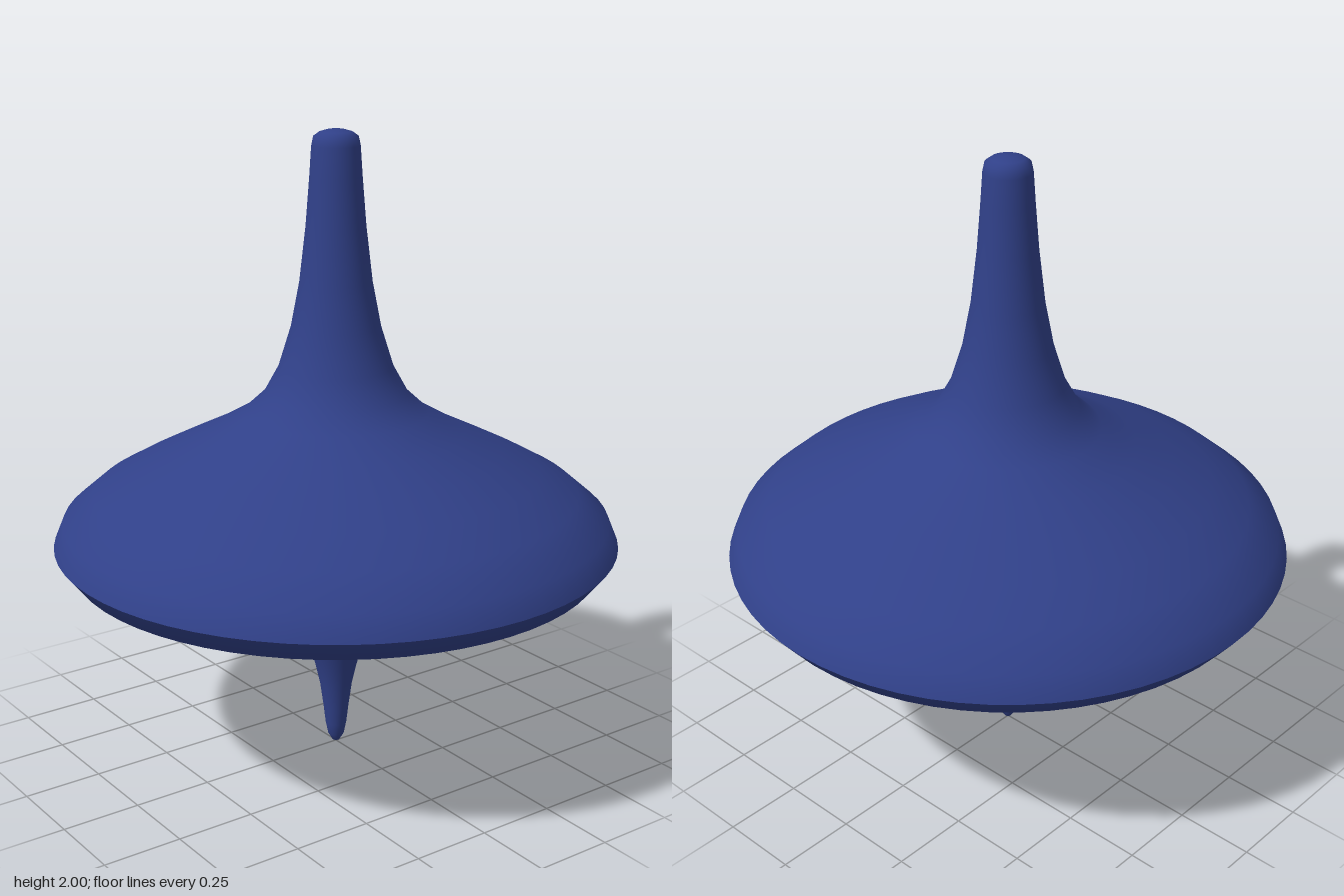
import * as THREE from 'three';

const SEGMENTS = 64;

// Profiles run bottom to top as [radius, height]; each ends at a sharp crease.
const PROFILES = {
  spinningTip: [
    [0, 0], [0.012, 0.006], [0.026, 0.03], [0.034, 0.07], [0.041, 0.13],
    [0.052, 0.21], [0.068, 0.28], [0.088, 0.35], [0.113, 0.42], [0.137, 0.485],
  ],
  discUnderside: [
    [0.137, 0.485], [0.147, 0.5], [0.18, 0.51], [0.28, 0.523], [0.43, 0.545],
    [0.58, 0.575], [0.72, 0.61], [0.835, 0.658], [0.888, 0.725],
  ],
  discTopAndHandle: [
    [0.888, 0.725], [0.857, 0.8], [0.76, 0.883], [0.64, 0.95], [0.52, 1.01],
    [0.4, 1.068], [0.29, 1.13], [0.225, 1.19], [0.178, 1.275], [0.139, 1.4],
    [0.112, 1.54], [0.092, 1.71], [0.08, 1.86], [0.074, 1.95], [0.068, 1.978],
    [0.05, 1.991], [0.025, 1.998], [0, 2],
  ],
};

export function createModel() {
  const model = new THREE.Group();
  model.name = 'spinningTop';
  const material = new THREE.MeshStandardMaterial({ color: 0x304088 });

  // One smooth turned body per profile
  for (const [name, profile] of Object.entries(PROFILES)) {
    const points = profile.map(([r, y]) => new THREE.Vector2(r, y));
    const mesh = new THREE.Mesh(new THREE.LatheGeometry(points, SEGMENTS), material);
    mesh.name = name;
    model.add(mesh);
  }
  return model;
}
